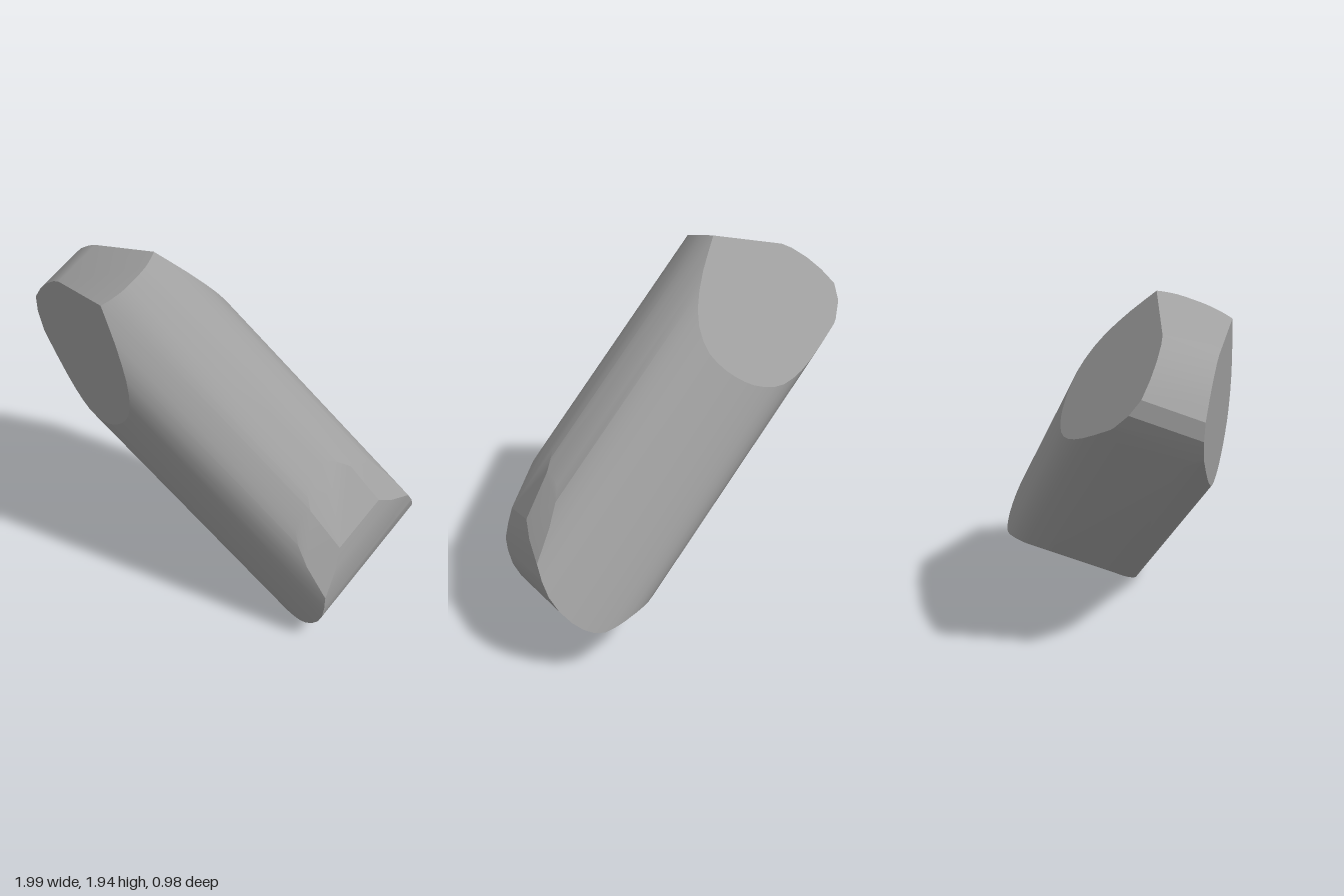
import * as THREE from 'three';
import { toCreasedNormals } from 'three/addons/utils/BufferGeometryUtils.js';

const V = (x, y, z) => new THREE.Vector3(x, y, z);

// Local frame: u runs along the block, v across it, w through its thickness
const along = V(0.727, -0.684, -0.058).normalize();
const thick = along.clone().cross(V(0.266, 0.333, -0.904)).normalize();
const across = thick.clone().cross(along);

// Side profile (u, w), clockwise: blunt upper end, long top, rounded lower end
const profile = [
  [-0.861, 0.497], [0.4, 0.497], [0.818, 0.418], [0.89, 0.37], [0.966, 0.303],
  [1.022, 0.24], [1.068, 0.17], [1.097, 0.09], [1.11, 0], [1.107, -0.07],
  [1.092, -0.13], [1.06, -0.18], [1, -0.22], [0.92, -0.261], [0.8, -0.322],
  [0.7, -0.36], [-0.82, -0.36], [-0.937, -0.343], [-1.03, -0.312], [-1.095, -0.25],
  [-1.113, -0.15], [-1.116, -0.05], [-1.105, 0.05], [-1.088, 0.108],
];

// Half cross-section (v, w), mirrored to a clockwise loop
const half = [
  [0.07, 0.49], [0.14, 0.474], [0.2, 0.45], [0.285, 0.402], [0.352, 0.327],
  [0.395, 0.215], [0.411, 0.1], [0.415, -0.02], [0.41, -0.12], [0.39, -0.225],
  [0.353, -0.285], [0.3, -0.322], [0.2, -0.354], [0.1, -0.37],
];
const section = soften([...half, ...half.map(([v, w]) => [-v, w]).reverse()])
  .map(([v, w]) => [v - 0.008, w]);

// Cuts each corner of a loop once
function soften(loop) {
  return loop.flatMap((p, i) => {
    const q = loop[(i + 1) % loop.length];
    const t = Math.min(0.25, 0.03 / Math.hypot(q[0] - p[0], q[1] - p[1]));
    const at = (k) => [p[0] + (q[0] - p[0]) * k, p[1] + (q[1] - p[1]) * k];
    return [at(t), at(1 - t)];
  });
}

// One plane per edge of a clockwise loop
function edgePlanes(loop, lift) {
  return loop.map((p, i) => {
    const q = loop[(i + 1) % loop.length];
    return planeAt(lift(p[1] - q[1], q[0] - p[0]), lift(p[0], p[1]));
  });
}

function planeAt(n, p) {
  n.normalize();
  return { n, c: n.dot(p) };
}

// Starting box as six outward faces
function boxFaces(r) {
  const faces = [];
  for (const s of [1, -1]) {
    for (let a = 0; a < 3; a++) {
      const quad = [[1, 1], [-1, 1], [-1, -1], [1, -1]].map(([i, j]) => {
        const p = V(0, 0, 0);
        p.setComponent(a, s * r);
        p.setComponent((a + 1) % 3, i * r);
        p.setComponent((a + 2) % 3, j * r);
        return p;
      });
      faces.push(s > 0 ? quad : quad.reverse());
    }
  }
  return faces;
}

// Cuts a convex solid with a plane and closes the cut
function cut(faces, { n, c }) {
  const rim = [];
  const addRim = (p) => {
    if (!rim.some((q) => q.distanceTo(p) < 1e-6)) rim.push(p);
  };
  const kept = [];
  let removed = false;
  for (const face of faces) {
    const out = [];
    face.forEach((p, i) => {
      const q = face[(i + 1) % face.length];
      const dp = n.dot(p) - c;
      const dq = n.dot(q) - c;
      if (dp > 1e-7) removed = true;
      if (dp <= 1e-7) out.push(p);
      if (Math.abs(dp) <= 1e-7) addRim(p);
      if ((dp > 1e-7 && dq < -1e-7) || (dp < -1e-7 && dq > 1e-7)) {
        const m = p.clone().lerp(q, dp / (dp - dq));
        out.push(m);
        addRim(m);
      }
    });
    if (out.length > 2) kept.push(out);
  }
  if (!removed) return faces;
  if (rim.length > 2) {
    const mid = rim.reduce((s, p) => s.add(p), V(0, 0, 0)).divideScalar(rim.length);
    const e1 = rim[0].clone().sub(mid).normalize();
    const e2 = n.clone().cross(e1);
    const angle = (p) => Math.atan2(p.clone().sub(mid).dot(e2), p.clone().sub(mid).dot(e1));
    kept.push(rim.sort((a, b) => angle(a) - angle(b)));
  }
  return kept;
}

export function createModel() {
  const planes = [
    ...edgePlanes(profile, (u, w) => V(u, 0, w)),
    ...edgePlanes(section, (v, w) => V(0, v, w)),
    // Two chamfers narrowing the upper end
    planeAt(V(-0.37, -1, 0.05), V(-1.106, -0.15, 0)),
    planeAt(V(-0.37, 1, 0.05), V(-1.106, 0.125, 0)),
    // Shallow facets beside the flat above the lower end
    planeAt(V(0.18, 0.47, 1), V(0.818, 0.16, 0.419)),
    planeAt(V(0.18, -0.47, 1), V(0.818, -0.17, 0.419)),
  ];
  const faces = planes.reduce(cut, boxFaces(1.5));

  // Fan each face into triangles
  const points = [];
  for (const f of faces) {
    for (let i = 1; i < f.length - 1; i++) points.push(f[0], f[i], f[i + 1]);
  }
  const geometry = toCreasedNormals(new THREE.BufferGeometry().setFromPoints(points), 0.34);

  const stone = new THREE.MeshStandardMaterial({ color: 0xa0a0a0 });
  stone.name = 'stone grey';
  const block = new THREE.Mesh(geometry, stone);
  block.name = 'chamferedBlock';
  block.quaternion.setFromRotationMatrix(new THREE.Matrix4().makeBasis(along, across, thick));
  block.position.y = 0.97;

  const group = new THREE.Group();
  group.name = 'leaningBlock';
  group.add(block);
  return group;
}
